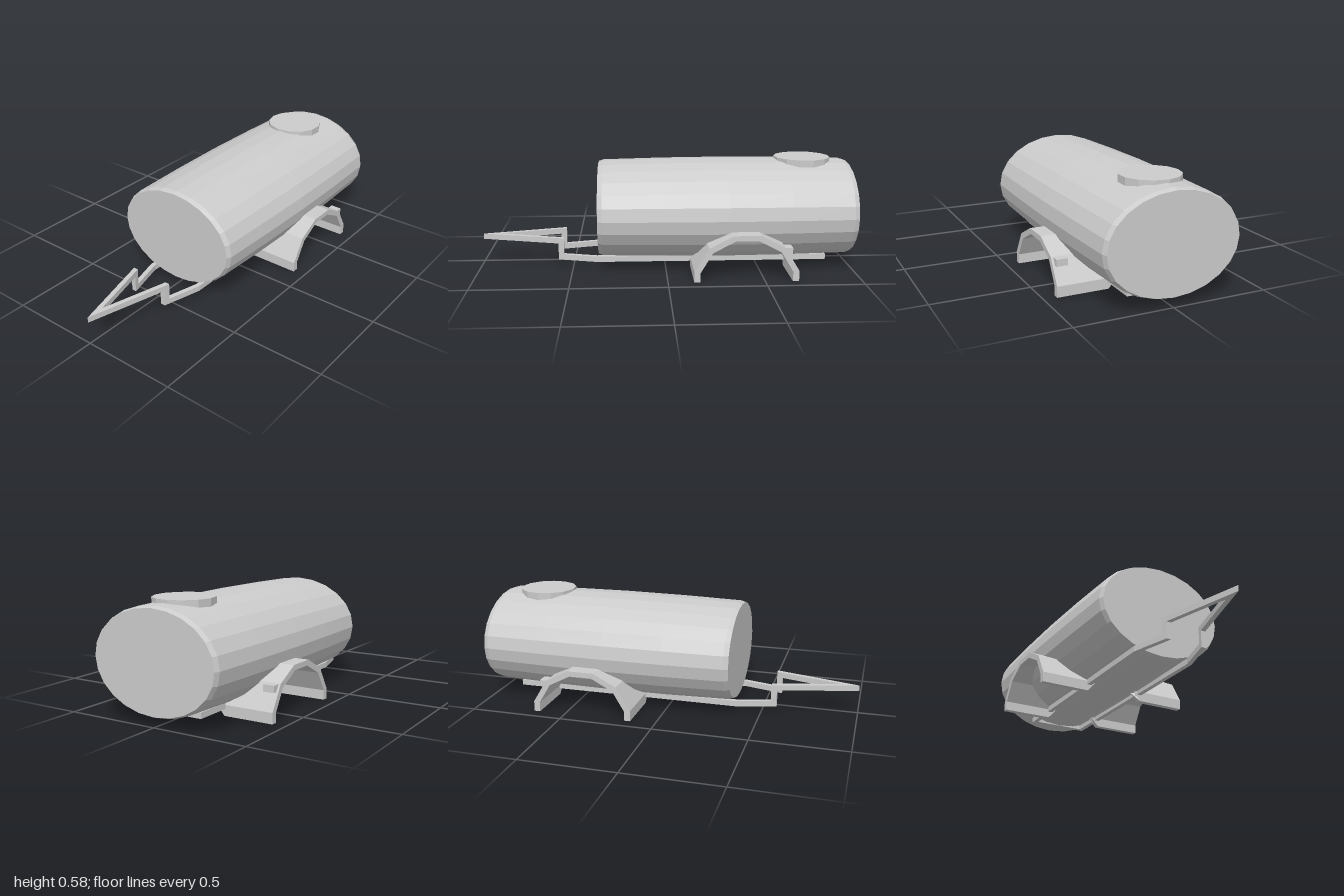
import * as THREE from 'three';

const mat = new THREE.MeshStandardMaterial({ color: 0xcccccc, flatShading: true });

function add(parent, name, geometry) {
  const mesh = new THREE.Mesh(geometry, mat);
  mesh.name = name;
  parent.add(mesh);
  return mesh;
}

// Vertical-sided slab from a plan outline of [x, z] points
function planSlab(points, y0, y1) {
  const shape = new THREE.Shape(points.map(([x, z]) => new THREE.Vector2(x, -z)));
  const geo = new THREE.ExtrudeGeometry(shape, { depth: y1 - y0, bevelEnabled: false });
  return geo.rotateX(-Math.PI / 2).translate(0, y0, 0);
}

// Slightly bulging oval barrel with chamfered, flat ends
function tankGeometry() {
  const rings = [[0, -1], [0.342, -1], [0.354, -0.975], [0.364, -0.65], [0.368, -0.32],
    [0.364, 0.01], [0.354, 0.335], [0.342, 0.36], [0, 0.36]];
  const geo = new THREE.LatheGeometry(rings.map(([r, z]) => new THREE.Vector2(r, z)), 24);
  geo.rotateX(Math.PI / 2);
  geo.scale(1, 0.27 / 0.368, 1).translate(0, 0.3, 0);
  return geo;
}

// Faceted wheel arch, its inner edge sloping in under the tank
function fenderGeometry(side) {
  const zc = -0.404;
  const outer = [[0.27, 0], [0.27, 0.055], [0.195, 0.178], [0.07, 0.243]];
  const inner = [[0.238, 0], [0.238, 0.05], [0.175, 0.155], [0.06, 0.215]];
  const flip = (list) => list.map(([u, y]) => [-u, y]).reverse();
  const outline = [...outer, ...flip(outer), ...flip(inner).reverse(), ...inner.slice().reverse()];
  const shape = new THREE.Shape(outline.map(([u, y]) => new THREE.Vector2(u, y)));
  const geo = new THREE.ExtrudeGeometry(shape, { depth: 1, bevelEnabled: false });
  geo.rotateY(Math.PI / 2).translate(0, 0, zc);
  const p = geo.attributes.position;
  for (let i = 0; i < p.count; i++) {
    const isOuter = (p.getX(i) > 0.5) === (side > 0);
    p.setX(i, side * (isOuter ? 0.434 : Math.max(0.12, 0.165 - 1.3 * p.getY(i))));
  }
  geo.computeVertexNormals();
  return geo;
}

export function createModel() {
  const model = new THREE.Group();
  model.name = 'tankTrailer';

  add(model, 'tank', tankGeometry());

  // Filler lid
  const lid = new THREE.CylinderGeometry(0.153, 0.153, 0.08, 13, 1, false, -Math.PI / 2);
  add(model, 'lid', lid).position.set(0, 0.537, -0.755);

  // Chassis: raised V drawbar, step down, then parallel rails
  const frame = new THREE.Group();
  frame.name = 'frame';
  model.add(frame);
  const w = 0.026;
  const edge = (z) => (1 - z) * 0.271;
  const tipZ = 1 - w / 0.271;
  for (const s of [1, -1]) {
    const x = (z, inset = 0) => s * (edge(z) - inset);
    add(frame, 'drawbar', planSlab(
      [[0, 1], [x(0.55), 0.55], [x(0.55, w), 0.55], [0, tipZ]], 0.125, 0.155));
    add(frame, 'stepPost', planSlab(
      [[x(0.58), 0.58], [x(0.55), 0.55], [x(0.55, w), 0.55], [x(0.58, w), 0.58]], 0.035, 0.13));
    add(frame, 'rail', planSlab(
      [[x(0.58), 0.58], [x(0.37), 0.37], [x(0.37), -0.87],
        [x(0.37, w), -0.87], [x(0.37, w), 0.37], [x(0.58, w), 0.58]], 0.035, 0.065));
  }
  const cross = new THREE.BoxGeometry(0.34, 0.03, 0.026);
  add(frame, 'rearCrossbar', cross).position.set(0, 0.05, -0.857);

  // Wheel arches with a small lamp block on the rear slope
  for (const s of [1, -1]) {
    const name = s > 0 ? 'left' : 'right';
    add(model, name + 'Fender', fenderGeometry(s));
    const lamp = new THREE.BoxGeometry(0.06, 0.035, 0.045);
    add(model, name + 'Lamp', lamp).position.set(s * 0.392, 0.157, -0.617);
  }
  return model;
}
